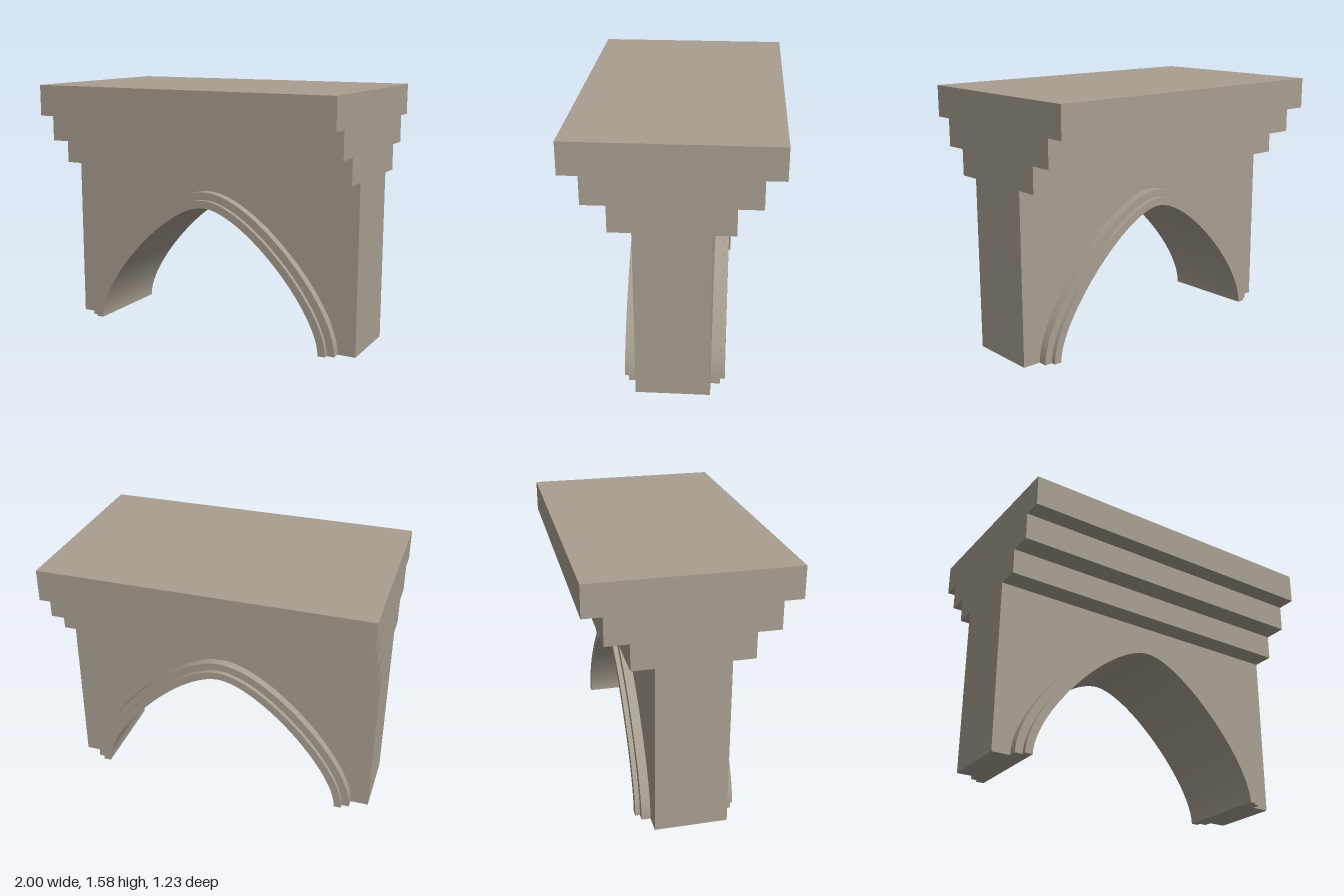
import * as THREE from 'three';
import { toCreasedNormals } from 'three/addons/utils/BufferGeometryUtils.js';

const stone = new THREE.MeshStandardMaterial({ color: 0xa89f91 });
stone.name = 'warm grey stone';

// Right half of the opening, from its foot to the crown
const intrados = new THREE.CubicBezierCurve(
  new THREE.Vector2(0.79, 0), new THREE.Vector2(0.79, 0.27),
  new THREE.Vector2(0.27, 0.83), new THREE.Vector2(0, 0.83));

// Whole arch line, right foot to left foot, pushed outward by a distance
function archLine(offset, steps = 32) {
  const half = [];
  for (let i = 0; i <= steps; i++) {
    const p = intrados.getPoint(i / steps);
    const t = intrados.getTangent(i / steps);
    half.push(new THREE.Vector2(p.x + t.y * offset, p.y - t.x * offset));
  }
  const left = half.slice(0, -1).reverse().map((p) => new THREE.Vector2(-p.x, p.y));
  return [...half, ...left];
}

// Extrude an outline symmetrically about z = 0, keeping the arch smooth
function slab(name, points, halfDepth) {
  const geometry = new THREE.ExtrudeGeometry(new THREE.Shape(points), {
    depth: halfDepth * 2, bevelEnabled: false,
  });
  geometry.translate(0, 0, -halfDepth);
  const mesh = new THREE.Mesh(toCreasedNormals(geometry, 0.5), stone);
  mesh.name = name;
  return mesh;
}

export function createModel() {
  const group = new THREE.Group();
  group.name = 'archBridge';
  const inner = archLine(0);
  const middle = archLine(0.048);
  const outer = archLine(0.096);

  // Wall pierced by the arch
  const wallOutline = [[-1, 0], [-1, 1.06], [1, 1.06], [1, 0]]
    .map(([x, y]) => new THREE.Vector2(x, y));
  group.add(slab('wall', [...wallOutline, ...outer], 0.22));

  // Two stepped mouldings around the opening
  group.add(slab('outerMoulding', [...outer, ...[...middle].reverse()], 0.275));
  group.add(slab('innerMoulding', [...middle, ...[...inner].reverse()], 0.303));

  // Corbel courses widening up to the top slab: bottom, top, half depth
  const courses = [
    ['lowerCorbel', 1.06, 1.22, 0.355],
    ['upperCorbel', 1.22, 1.39, 0.497],
    ['topSlab', 1.39, 1.583, 0.613],
  ];
  for (const [name, bottom, top, halfDepth] of courses) {
    const mesh = new THREE.Mesh(new THREE.BoxGeometry(2, top - bottom, halfDepth * 2), stone);
    mesh.position.y = (bottom + top) / 2;
    mesh.name = name;
    group.add(mesh);
  }
  return group;
}
